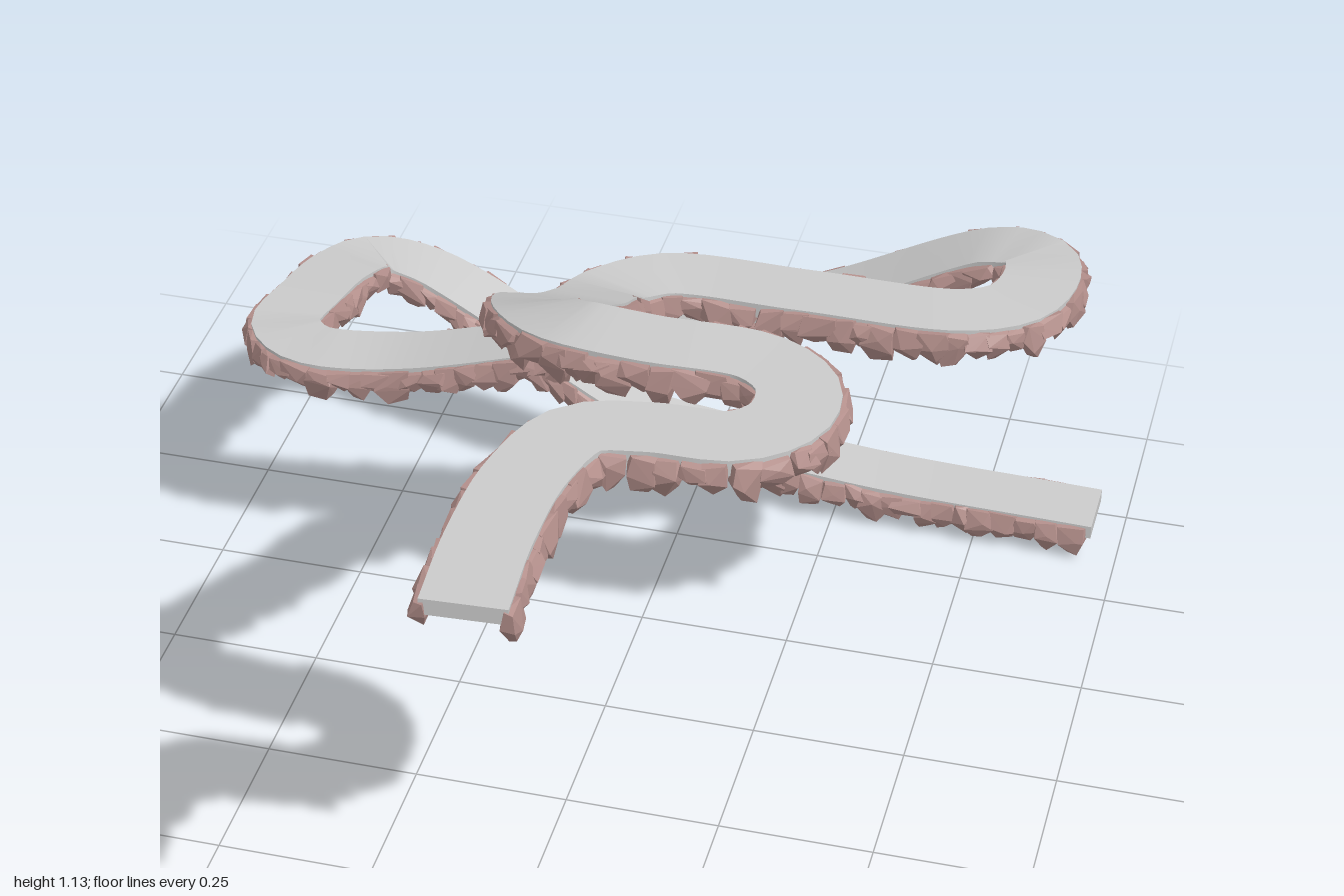
import * as THREE from 'three';
import { mergeGeometries, toCreasedNormals } from 'three/addons/utils/BufferGeometryUtils.js';
import { ConvexGeometry } from 'three/addons/geometries/ConvexGeometry.js';

const HALF_WIDTH = 0.058, THICKNESS = 0.024, SAMPLES = 220;

// Centre line of the road surface, from the high front end to the low back end
const PATH = [
  [0.13, 1.142, 0.985], [0.122, 1.142, 0.83], [0.132, 1.142, 0.68], [0.172, 1.142, 0.575], [0.26, 1.142, 0.548],
  [0.375, 1.142, 0.538], [0.43, 1.142, 0.48], [0.427, 1.142, 0.4], [0.365, 1.142, 0.347], [0.2, 1.142, 0.34],
  [0.075, 1.135, 0.312], [0.014, 1.105, 0.235], [0.004, 1.03, 0.11], [0.006, 0.96, 0],
  [0.01, 0.905, -0.1], [0.022, 0.865, -0.2], [0.09, 0.853, -0.272], [0.3, 0.852, -0.28], [0.54, 0.852, -0.287],
  [0.615, 0.85, -0.335], [0.64, 0.848, -0.42], [0.62, 0.84, -0.495], [0.545, 0.825, -0.526],
  [0.28, 0.697, -0.528], [0, 0.594, -0.528], [-0.2, 0.525, -0.528], [-0.43, 0.462, -0.525], [-0.585, 0.45, -0.526],
  [-0.645, 0.446, -0.585], [-0.638, 0.436, -0.7], [-0.62, 0.42, -0.82], [-0.585, 0.402, -0.9], [-0.5, 0.375, -0.928],
  [-0.3, 0.29, -0.902], [-0.2, 0.23, -0.89], [-0.1, 0.168, -0.895], [0.03, 0.125, -0.918], [0.3, 0.088, -0.924],
  [0.705, 0.075, -0.922],
];

function seeded(seed) {
  return () => {
    seed = (seed * 1664525 + 1013904223) % 4294967296;
    return seed / 4294967296;
  };
}

// Position, direction and level sideways vector at a fraction of the path
function frameAt(curve, u) {
  const p = curve.getPointAt(u), t = curve.getTangentAt(u);
  return { p, t, side: new THREE.Vector3(-t.z, 0, t.x).normalize() };
}

// Thin ribbon with a rectangular section and closed ends
function roadGeometry(curve) {
  const pos = [], index = [];
  for (let i = 0; i <= SAMPLES; i++) {
    const { p, side } = frameAt(curve, i / SAMPLES);
    for (const [s, d] of [[-1, 0], [1, 0], [1, 1], [-1, 1]]) {
      const v = p.clone().addScaledVector(side, s * HALF_WIDTH);
      pos.push(v.x, v.y - d * THICKNESS, v.z);
    }
  }
  for (let i = 0; i < SAMPLES; i++) {
    for (let k = 0; k < 4; k++) {
      const a = i * 4 + k, b = i * 4 + (k + 1) % 4;
      index.push(a, b, b + 4, a, b + 4, a + 4);
    }
  }
  const e = SAMPLES * 4;
  index.push(0, 3, 2, 0, 2, 1, e, e + 1, e + 2, e, e + 2, e + 3);
  const g = new THREE.BufferGeometry();
  g.setAttribute('position', new THREE.Float32BufferAttribute(pos, 3));
  g.setIndex(index);
  return toCreasedNormals(g, 0.5);
}

// Row of angular stones hanging along one edge: flat on top, ragged below
function rockGeometry(curve, sign, rand) {
  const rocks = [], edge = [];
  for (let i = 0; i <= 400; i++) {
    const { p, side } = frameAt(curve, i / 400);
    edge.push(p.addScaledVector(side, sign * HALF_WIDTH));
  }
  const edgeCurve = new THREE.CatmullRomCurve3(edge);
  edgeCurve.arcLengthDivisions = 1200;
  const length = edgeCurve.getLength();
  for (let s = 0.018; s < length - 0.012; s += 0.026 + rand() * 0.018) {
    const p = edgeCurve.getPointAt(s / length);
    const t = edgeCurve.getTangentAt(s / length);
    const out = new THREE.Vector3(-t.z, 0, t.x).normalize().multiplyScalar(sign);
    const half = 0.02 + rand() * 0.01, depth = 0.045 + rand() * 0.026;
    const points = [];
    const add = (along, outward, down) => points.push(
      p.clone().addScaledVector(t, along).addScaledVector(out, outward).add(new THREE.Vector3(0, -down, 0)));
    for (const a of [-1, 1]) {
      add(a * half * (0.8 + 0.2 * rand()), -0.006, 0.003 + rand() * 0.003);
      add(a * half * (0.6 + 0.4 * rand()), 0.003 + rand() * 0.007, 0.002 + rand() * 0.01);
      add(a * half * (0.7 + 0.4 * rand()), 0.006 + rand() * 0.011, depth * (0.4 + 0.3 * rand()));
      add(a * half * (0.6 + 0.4 * rand()), -0.008 - rand() * 0.01, depth * (0.45 + 0.3 * rand()));
      add(a * half * (0.2 + 0.6 * rand()), -0.012 + rand() * 0.022, depth * (0.75 + 0.25 * rand()));
    }
    add((rand() - 0.5) * half, 0.01 + rand() * 0.008, depth * (0.3 + 0.4 * rand()));
    add((rand() - 0.5) * half, -0.004, depth);
    rocks.push(new ConvexGeometry(points));
  }
  return mergeGeometries(rocks);
}

export function createModel() {
  const model = new THREE.Group();
  model.name = 'windingRoad';
  const curve = new THREE.CatmullRomCurve3(PATH.map((p) => new THREE.Vector3(...p)), false, 'centripetal');
  curve.arcLengthDivisions = 1000;

  // Road surface
  const road = new THREE.Mesh(roadGeometry(curve), new THREE.MeshStandardMaterial({ color: 0xcccccc }));
  road.name = 'road';
  model.add(road);

  // Rocky edging on both sides
  const stone = new THREE.MeshStandardMaterial({ color: 0xb38f8b, flatShading: true });
  const rand = seeded(17);
  for (const [name, sign] of [['rightRocks', 1], ['leftRocks', -1]]) {
    const rocks = new THREE.Mesh(rockGeometry(curve, sign, rand), stone);
    rocks.name = name;
    model.add(rocks);
  }
  return model;
}
